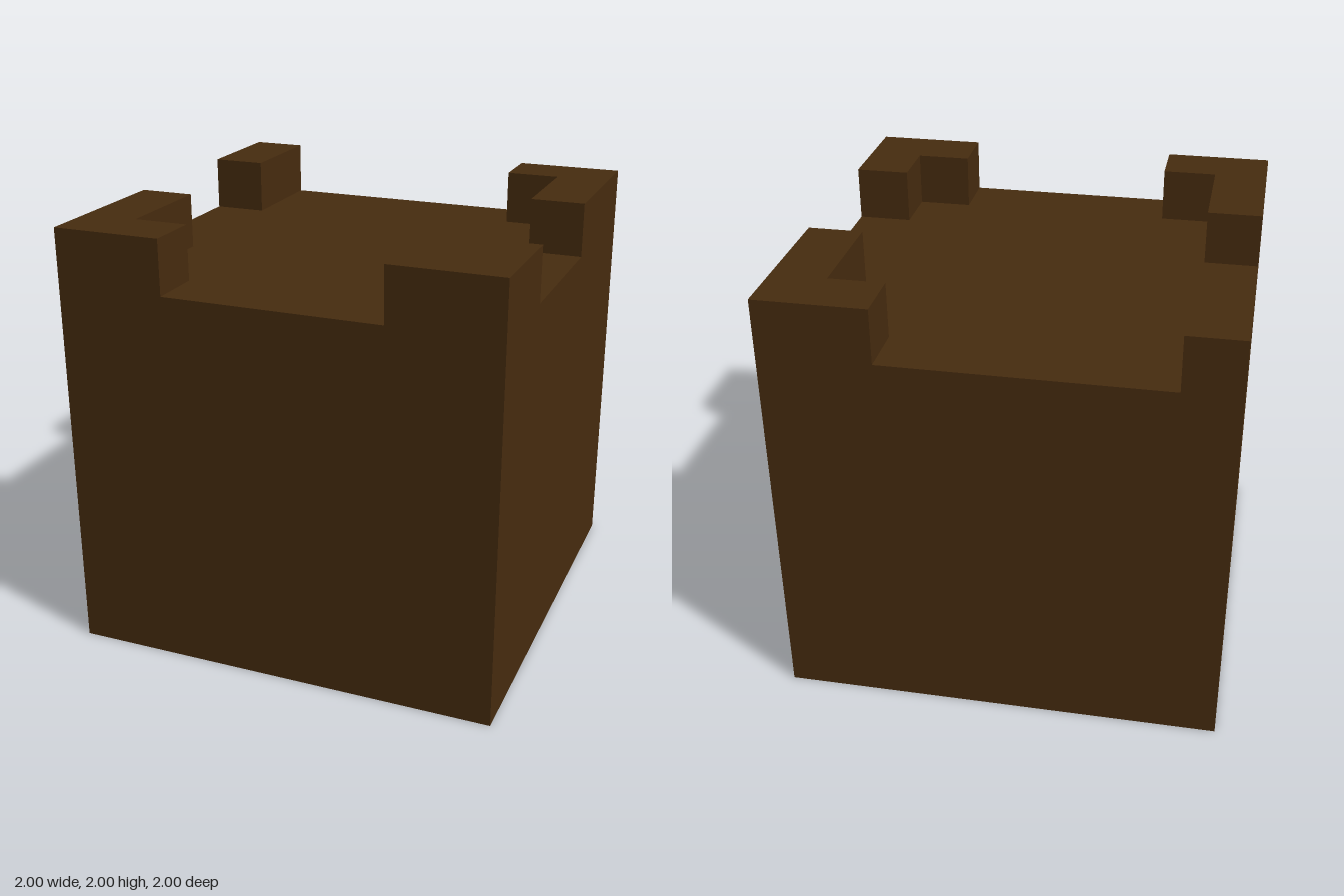
import * as THREE from 'three';

const BODY_HEIGHT = 1.75;
const MERLON_HEIGHT = 0.25;
const WALL = 0.25;

export function createModel() {
  const model = new THREE.Group();
  model.name = 'crenellatedBlock';

  const brown = new THREE.MeshStandardMaterial({ color: 0x472c0f });
  brown.name = 'dark brown';

  // Solid block
  const body = new THREE.Mesh(new THREE.BoxGeometry(2, BODY_HEIGHT, 2), brown);
  body.name = 'body';
  body.position.y = BODY_HEIGHT / 2;
  model.add(body);

  // Corner merlon: an L (or a straight bar when lengthX equals WALL) hugging corner (sx, sz)
  function addMerlon(name, sx, sz, lengthX, lengthZ) {
    const outline = [[0, 0], [lengthX, 0], [lengthX, WALL]];
    if (lengthX > WALL) outline.push([WALL, WALL]);
    outline.push([WALL, lengthZ], [0, lengthZ]);
    const unique = outline.filter(([x, z], i) => i === 0 || x !== outline[i - 1][0] || z !== outline[i - 1][1]);
    const points = unique.map(([x, z]) => new THREE.Vector2(sx * (1 - x), -sz * (1 - z)));
    const geometry = new THREE.ExtrudeGeometry(new THREE.Shape(points), { depth: MERLON_HEIGHT, bevelEnabled: false });
    geometry.rotateX(-Math.PI / 2);
    const merlon = new THREE.Mesh(geometry, brown);
    merlon.name = name;
    merlon.position.y = BODY_HEIGHT;
    model.add(merlon);
  }

  addMerlon('frontLeftMerlon', 1, 1, 0.5, 0.5);
  addMerlon('frontRightMerlon', -1, 1, 0.5, 0.75);
  addMerlon('backLeftMerlon', 1, -1, 0.5, 0.75);
  addMerlon('backRightMerlon', -1, -1, WALL, 0.5);

  return model;
}
